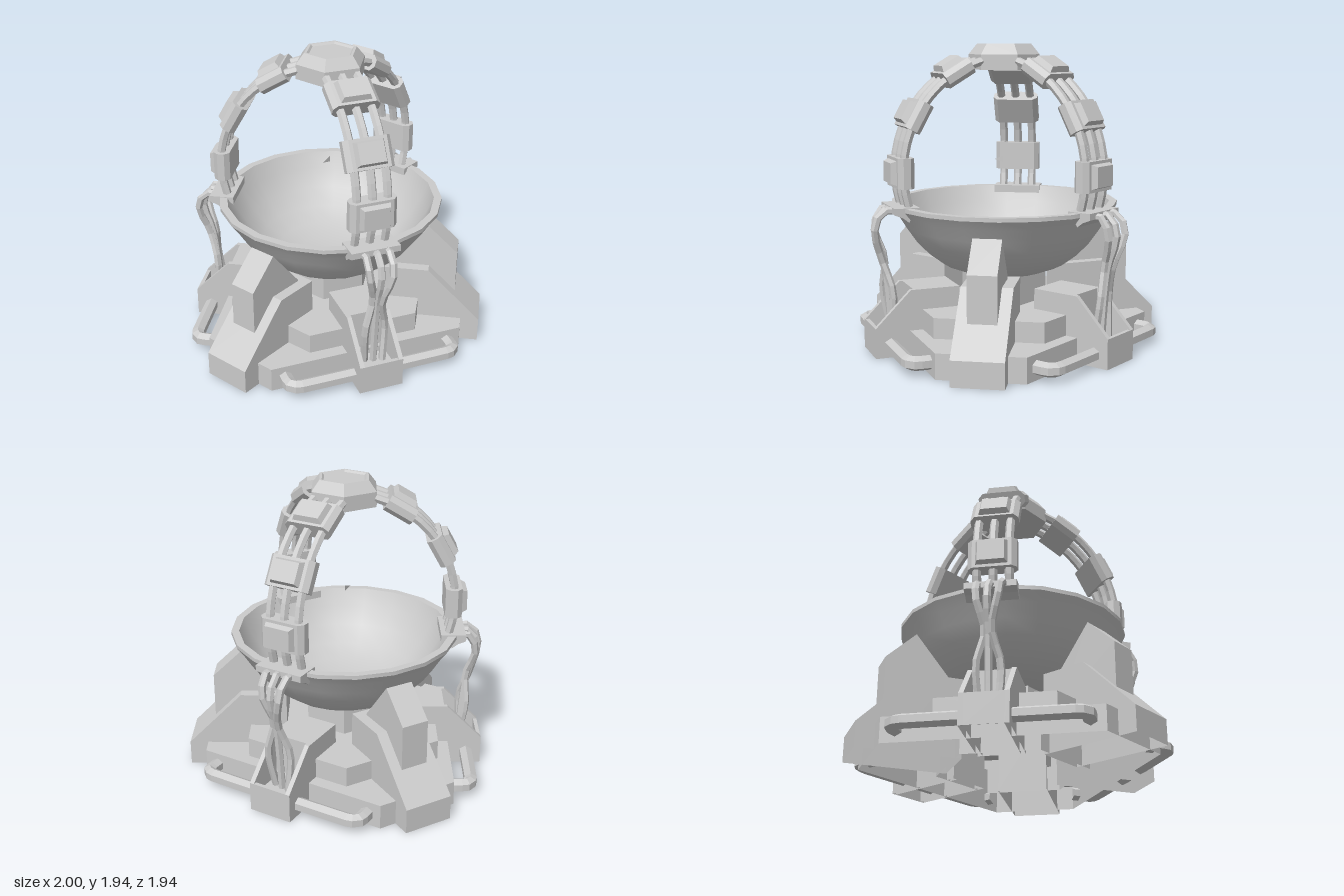
import * as THREE from 'three';
import { toCreasedNormals } from 'three/addons/utils/BufferGeometryUtils.js';

const flat = new THREE.MeshStandardMaterial({ color: 0xcccccc, flatShading: true });
const smooth = new THREE.MeshStandardMaterial({ color: 0xcccccc });
const shell = new THREE.MeshStandardMaterial({ color: 0xcccccc, flatShading: true, side: THREE.DoubleSide });

function add(parent, name, geometry, material = flat) {
  const mesh = new THREE.Mesh(geometry, material);
  mesh.name = name;
  parent.add(mesh);
  return mesh;
}

const toShape = (pts) => new THREE.Shape(pts.map(([x, y]) => new THREE.Vector2(x, y)));
const toLathe = (pts, sides) => new THREE.LatheGeometry(pts.map(([r, y]) => new THREE.Vector2(r, y)), sides);

// Side profile in (distance from axis, height), extruded across the given width
function profile(pts, width, offset = 0) {
  const g = new THREE.ExtrudeGeometry(toShape(pts), { depth: width, bevelEnabled: false });
  return g.rotateY(-Math.PI / 2).translate(width / 2 + offset, 0, 0);
}

// Six-cornered outline with alternating long and short sides
function hexPoints(apothem, half) {
  const r = Math.hypot(apothem, half), d = Math.atan2(half, apothem), pts = [];
  for (let k = 0; k < 3; k++) {
    for (const s of [-1, 1]) {
      const a = k * Math.PI * 2 / 3 + s * d;
      pts.push([r * Math.sin(a), -r * Math.cos(a)]);
    }
  }
  return pts;
}

// Flat outline raised from y0 to y1
function slab(outline, y0, y1, hole) {
  const shape = toShape(outline);
  if (hole) shape.holes.push(toShape(hole));
  const g = new THREE.ExtrudeGeometry(shape, { depth: y1 - y0, bevelEnabled: false });
  return g.rotateX(-Math.PI / 2).translate(0, y0, 0);
}

// Drops the faces lying on the lowest plane, leaving a hollow shell
function openBottom(geometry) {
  geometry.computeBoundingBox();
  const floor = geometry.boundingBox.min.y + 1e-4;
  const p = geometry.attributes.position, kept = [];
  for (let i = 0; i < p.count; i += 3) {
    if (Math.max(p.getY(i), p.getY(i + 1), p.getY(i + 2)) > floor) kept.push(i, i + 1, i + 2);
  }
  return geometry.setIndex(kept);
}

function tube(pts, radius, segments, sides = 6) {
  const curve = new THREE.CatmullRomCurve3(pts.map((p) => new THREE.Vector3(...p)), false, 'centripetal');
  return new THREE.TubeGeometry(curve, segments, radius, sides);
}

// Arched arm: ellipse measured from the central axis
const archR = 0.705, archH = 0.71;
const archPoint = (t) => [archR * Math.cos(t), 1.15 + archH * Math.sin(t)];

function makeArm() {
  const arm = new THREE.Group();
  arm.name = 'arm';

  // Three parallel bars
  for (const x of [-0.1, 0, 0.1]) {
    const pts = [];
    for (let i = 0; i <= 10; i++) {
      const [r, y] = archPoint(-0.3 + i * 0.16);
      pts.push([x, y, r]);
    }
    add(arm, 'archBar', tube(pts, 0.028, 14));
  }

  // Chamfered clamps with raised pads
  for (const t of [0, 0.51, 1.04]) {
    const clamp = new THREE.Group();
    clamp.name = 'clamp';
    const [r, y] = archPoint(t);
    clamp.position.set(0, y, r - 0.01);
    clamp.rotation.x = Math.atan2(-archR * Math.sin(t), archH * Math.cos(t));
    const w = 0.152, d = 0.053, c = 0.03;
    const octagon = [[-w, -d + c], [-w + c, -d], [w - c, -d], [w, -d + c],
      [w, d - c], [w - c, d], [-w + c, d], [-w, d - c]];
    add(clamp, 'clampBody', slab(octagon, -0.095, 0.095));
    const pad = new THREE.CylinderGeometry(0.09, 0.108, 0.035, 4).rotateY(Math.PI / 4);
    add(clamp, 'clampPad', pad.rotateX(Math.PI / 2).scale(1.3, 1, 1).translate(0, 0, d + 0.0175));
    arm.add(clamp);
  }

  // Bracket that grips the bowl rim
  add(arm, 'rimBracket', profile([[0.62, 0.89], [0.65, 0.91], [0.69, 0.85], [0.73, 0.88],
    [0.78, 0.90], [0.78, 0.94], [0.62, 0.94]], 0.32));

  // Loose cables from the bracket into the foot
  for (const s of [-1, 0, 1]) {
    const k = 0.015 * s;
    add(arm, 'cable', tube([[s * 0.08, 0.915, 0.73], [s * 0.075, 0.91, 0.82 + k], [s * 0.055 + k, 0.8, 0.87 + k],
      [s * 0.04 - k, 0.6, 0.815 + k], [s * 0.055 + k, 0.4, 0.79 - k], [s * 0.055, 0.13, 0.77 + k]], 0.024, 12));
  }

  // Hollow foot with an open trough in its slope
  const wall = [[0.36, 0], [0.91, 0], [0.91, 0.19], [0.68, 0.42], [0.36, 0.42]];
  for (const s of [-1, 1]) add(arm, 'footWall', openBottom(profile(wall, 0.03, s * 0.13)), shell);
  add(arm, 'footCore', openBottom(profile([[0.36, 0], [0.91, 0], [0.91, 0.19], [0.885, 0.19], [0.885, 0.12],
    [0.66, 0.12], [0.66, 0.42], [0.36, 0.42]], 0.23)), shell);

  // Hand rail around the foot
  add(arm, 'rail', tube([[-0.56, 0.08, 0.64], [-0.56, 0.08, 0.76], [-0.55, 0.08, 0.79], [-0.51, 0.08, 0.808],
    [-0.46, 0.08, 0.81], [0.46, 0.08, 0.81], [0.51, 0.08, 0.808], [0.55, 0.08, 0.79],
    [0.56, 0.08, 0.76], [0.56, 0.08, 0.64]], 0.045, 40));
  return arm;
}

function makeButtress() {
  const buttress = new THREE.Group();
  buttress.name = 'buttress';
  add(buttress, 'buttressBody', openBottom(profile(
    [[0.38, 0], [1.03, 0], [1.03, 0.16], [0.68, 0.51], [0.38, 0.51]], 0.32)), shell);
  add(buttress, 'buttressHorn', openBottom(profile(
    [[0.44, 0.3], [0.86, 0.3], [0.86, 0.62], [0.67, 0.8], [0.44, 0.52]], 0.18)));
  return buttress;
}

export function createModel() {
  const model = new THREE.Group();
  model.name = 'bowlStand';
  const body = new THREE.Group();
  body.name = 'body';
  body.position.z = -0.06;
  model.add(body);

  // Stepped base, hollow underneath
  add(body, 'basePlatform', openBottom(slab(hexPoints(0.91, 0.27), 0, 0.16, hexPoints(0.42, 0.24))), shell);
  add(body, 'baseStep', openBottom(slab(hexPoints(0.62, 0.34), 0.155, 0.29)), shell);
  add(body, 'bowlPillar', slab(hexPoints(0.24, 0.14), 0.285, 0.49));

  // Bowl
  const bowlProfile = [[0, 0.465], [0.27, 0.475], [0.4, 0.525], [0.5, 0.6], [0.58, 0.685], [0.64, 0.77], [0.69, 0.85],
    [0.735, 0.91], [0.735, 0.935], [0.685, 0.935], [0.64, 0.83], [0.56, 0.71], [0.46, 0.61], [0.34, 0.545],
    [0.2, 0.51], [0, 0.5]];
  add(body, 'bowl', toCreasedNormals(toLathe(bowlProfile, 20), 0.5), smooth);

  // Hexagonal cap joining the arms
  const capProfile = [[0, 1.78], [0.23, 1.78], [0.23, 1.875], [0.175, 1.942], [0.158, 1.942], [0.145, 1.93], [0, 1.93]];
  add(body, 'cap', toLathe(capProfile, 6).rotateY(Math.PI / 6));

  // Small chip floating above the bowl
  const chip = new THREE.ShapeGeometry(toShape([[0.077, 1.195], [0.005, 1.22], [0.005, 1.18]]));
  add(body, 'floatingChip', chip.rotateY(-Math.PI / 2), shell);

  // Arms and buttresses alternate around the axis
  for (let k = 0; k < 3; k++) {
    const turn = k * Math.PI * 2 / 3;
    const arm = makeArm(), buttress = makeButtress();
    arm.rotation.y = Math.PI + turn;
    buttress.rotation.y = turn;
    body.add(arm, buttress);
  }
  return model;
}
